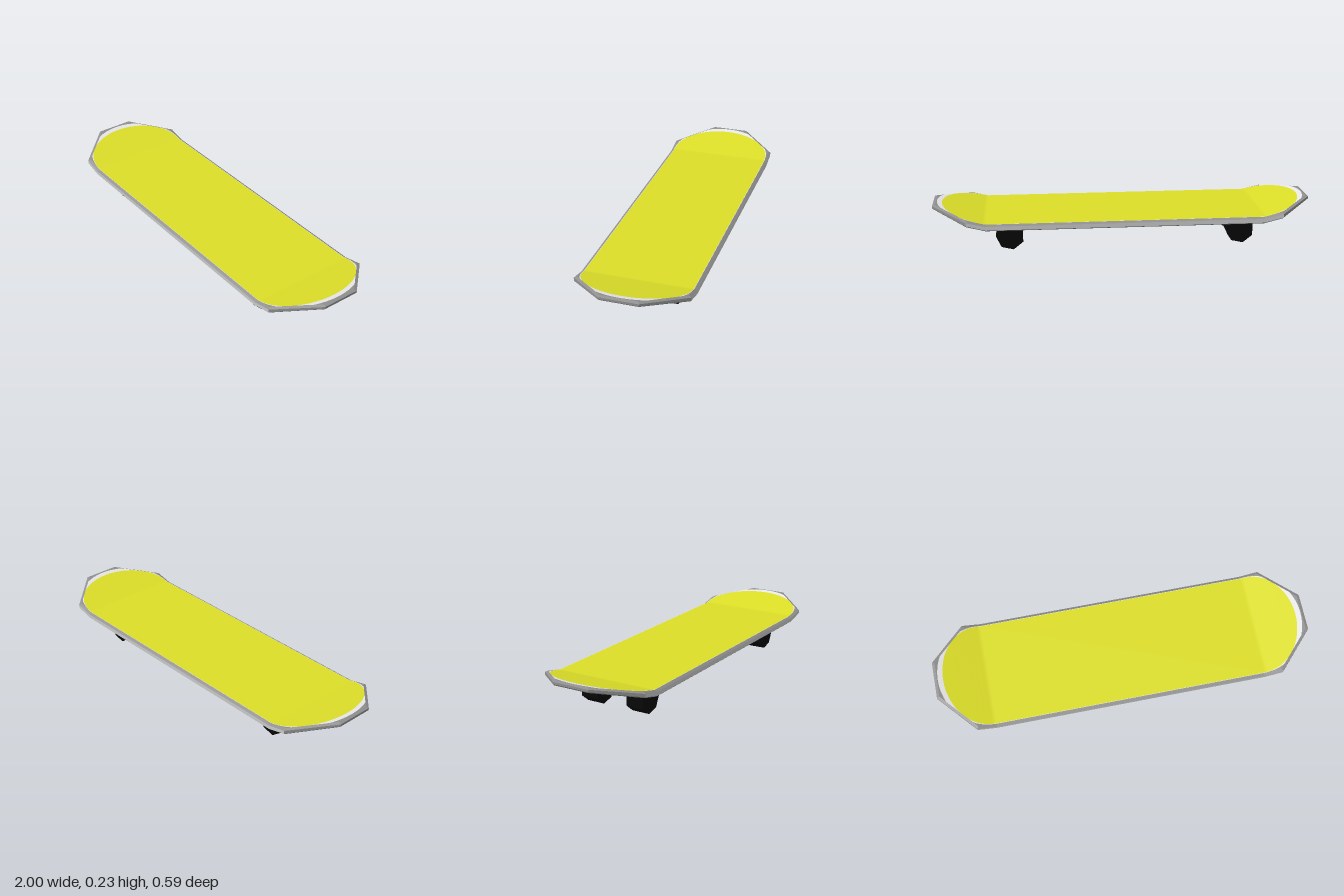
import * as THREE from 'three';
import { mergeVertices } from 'three/addons/utils/BufferGeometryUtils.js';

const BEND = 0.72;
const lift = (x) => Math.max(0, Math.abs(x) - BEND) / (1 - BEND);
const topY = (x) => 0.171 + 0.062 * lift(x);
const bottomY = (x) => 0.138 + 0.07 * lift(x);

// Octagonal deck outline, pulled in by an inset
function outline(inset) {
  return { endX: 1 - inset, endZ: 0.1 - inset * 0.4, cornerX: 0.82 - inset * 0.4, sideZ: 0.294 - inset };
}

function halfWidth(o, x) {
  const t = Math.max(0, (Math.abs(x) - o.cornerX) / (o.endX - o.cornerX));
  return o.sideZ + (o.endZ - o.sideZ) * t;
}

function quadGeometry(quads) {
  const pos = [];
  for (const [a, b, c, d] of quads) pos.push(...a, ...b, ...c, ...a, ...c, ...d);
  const g = new THREE.BufferGeometry();
  g.setAttribute('position', new THREE.Float32BufferAttribute(pos, 3));
  g.computeVertexNormals();
  return g;
}

function smooth(geometry) {
  geometry.deleteAttribute('normal');
  const g = mergeVertices(geometry);
  g.computeVertexNormals();
  return g;
}

// One deck face in three zones: painted centre, white border, grey tips
function deckFace(o, yAt, paintZ, up) {
  const arcStart = 0.74;
  const paintEnd = 0.955, borderEnd = 0.982;
  const half = [BEND, o.cornerX, o.endX, arcStart];
  for (let i = 1; i <= 12; i++) {
    const s = Math.sin((i / 12) * Math.PI / 2);
    for (const end of [paintEnd, borderEnd]) half.push(arcStart + (end - arcStart) * s);
  }
  const sorted = [...new Set(half)].sort((a, b) => a - b);
  const xs = [...sorted.map((x) => -x).reverse(), ...sorted];
  const ellipse = (x, end, z) => {
    const t = Math.max(0, (Math.abs(x) - arcStart) / (end - arcStart));
    return Math.min(z * Math.sqrt(Math.max(0, 1 - t * t)), halfWidth(o, x));
  };
  const zones = { paint: [], border: [], tips: [] };
  const order = ['tips', 'border', 'paint', 'border', 'tips'];
  for (let i = 0; i < xs.length - 1; i++) {
    const edges = [xs[i], xs[i + 1]].map((x) => {
      const h = halfWidth(o, x), p = ellipse(x, paintEnd, paintZ);
      const b = ellipse(x, borderEnd, o.sideZ);
      return [-h, -b, -p, p, b, h].map((z) => [x, yAt(x), z]);
    });
    order.forEach((zone, k) => {
      const q = [edges[0][k], edges[0][k + 1], edges[1][k + 1], edges[1][k]];
      zones[zone].push(up ? q : q.reverse());
    });
  }
  return {
    paint: smooth(quadGeometry(zones.paint)),
    border: smooth(quadGeometry(zones.border)),
    tips: quadGeometry(zones.tips),
  };
}

// Closed loop around the outline
function loop(o, yAt) {
  const q = [[o.endX, o.endZ], [o.cornerX, o.sideZ], [BEND, o.sideZ]];
  const mirrored = q.map(([x, z]) => [-x, z]).reverse();
  const front = [...q, ...mirrored];
  const back = front.map(([x, z]) => [x, -z]).reverse();
  return [...front, ...back].map(([x, z]) => [x, yAt(x), z]);
}

export function createModel() {
  const group = new THREE.Group();
  const material = (name, color) => {
    const m = new THREE.MeshStandardMaterial({ color });
    m.name = name;
    return m;
  };
  const yellow = material('yellow', 0xdcde28);
  const white = material('white', 0xeeeeee);
  const lightGrey = material('light grey', 0xc8c8c8);
  const grey = material('grey', 0x909090);
  const black = material('black', 0x070707);
  const add = (name, geometry, mat) => {
    const mesh = new THREE.Mesh(geometry, mat);
    mesh.name = name;
    group.add(mesh);
    return mesh;
  };

  // Deck faces
  const topOutline = outline(0.014), rimOutline = outline(0), bottomOutline = outline(0.006);
  const faces = {
    deckTop: deckFace(topOutline, topY, 0.278, true),
    deckBottom: deckFace(bottomOutline, bottomY, 0.286, false),
  };
  for (const [name, face] of Object.entries(faces)) {
    add(name, face.paint, yellow);
    add(`${name}Border`, face.border, white);
    add(`${name}Tips`, face.tips, grey);
  }

  // Bevelled rim: light along the sides, grey on bevels and around the ends
  const layers = [
    loop(topOutline, topY),
    loop(rimOutline, (x) => topY(x) - 0.008),
    loop(rimOutline, (x) => bottomY(x) + 0.005),
    loop(bottomOutline, bottomY),
  ];
  const sides = [], ends = [];
  for (let l = 0; l < 3; l++) {
    const a = layers[l], b = layers[l + 1], n = a.length;
    for (let i = 0; i < n; i++) {
      const j = (i + 1) % n;
      const isSide = l === 1 && Math.abs(a[i][2]) === Math.abs(a[j][2]) && a[i][0] !== a[j][0];
      (isSide ? sides : ends).push([a[i], a[j], b[j], b[i]]);
    }
  }
  add('deckSides', quadGeometry(sides), lightGrey);
  add('deckBevelsAndEnds', quadGeometry(ends), grey);

  // Seven-sided wheels, one corner pointing to +x
  const wheel = new THREE.CylinderGeometry(0.074, 0.074, 0.096, 7).toNonIndexed();
  wheel.rotateY(Math.PI / 2).rotateX(Math.PI / 2);
  wheel.computeVertexNormals();
  for (const [side, x] of [['left', 0.599], ['right', -0.617]]) {
    for (const [end, z] of [['Front', 0.141], ['Back', -0.128]]) {
      add(`${side}${end}Wheel`, wheel, black).position.set(x, 0.0722, z);
    }
  }
  return group;
}
